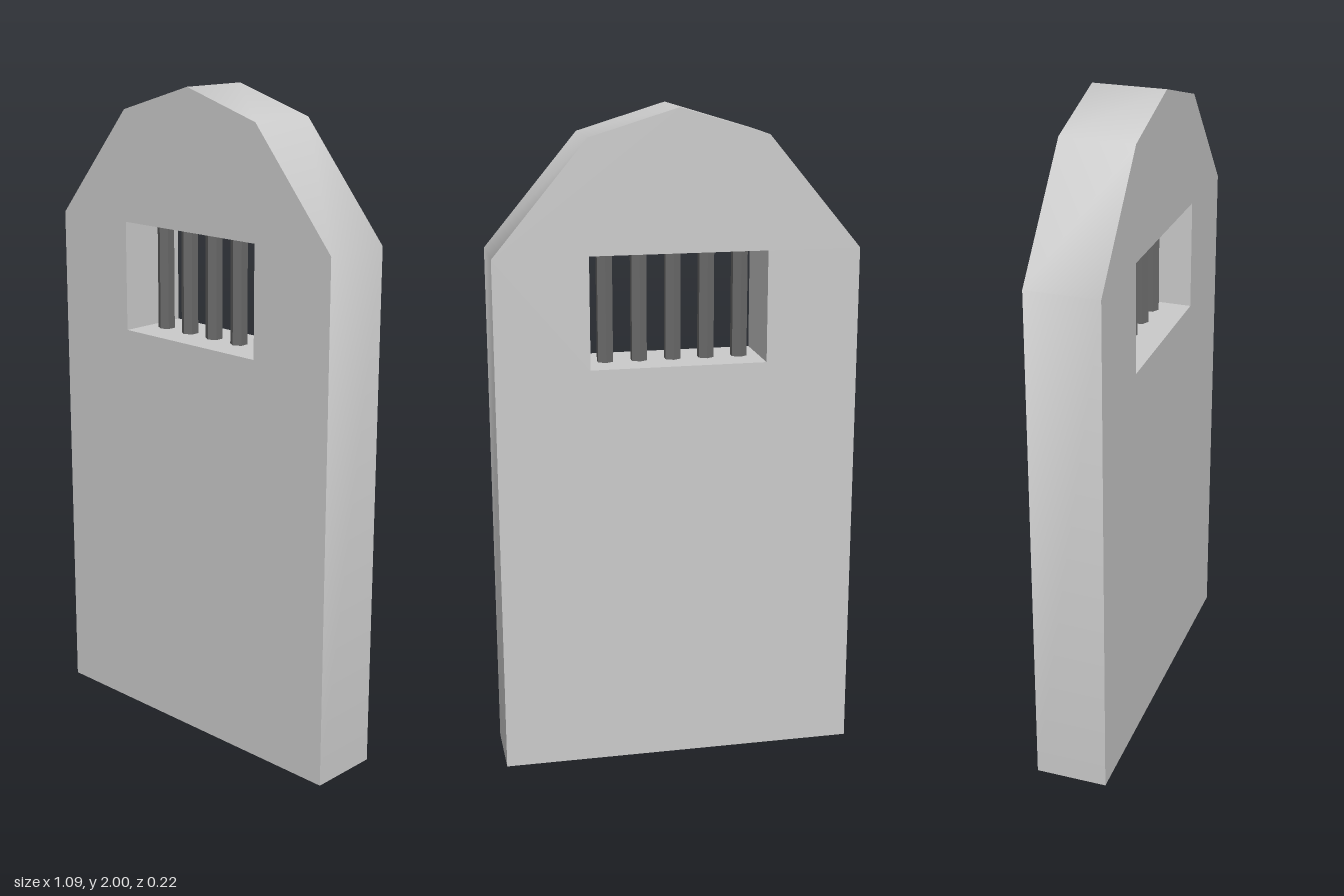
import * as THREE from 'three';
import { toCreasedNormals } from 'three/addons/utils/BufferGeometryUtils.js';

export function createModel() {
  const model = new THREE.Group();
  model.name = 'barredDoor';

  const depth = 0.22;
  const windowHalf = 0.265, sill = 1.25, lintel = 1.585;

  // Door slab: faceted arch outline with a rectangular window
  const outline = new THREE.Shape([
    [-0.545, 0], [0.545, 0], [0.545, 1.585], [0.265, 1.92],
    [0, 2], [-0.265, 1.92], [-0.545, 1.585],
  ].map(([x, y]) => new THREE.Vector2(x, y)));
  outline.holes.push(new THREE.Path([
    [-windowHalf, sill], [-windowHalf, lintel], [windowHalf, lintel], [windowHalf, sill],
  ].map(([x, y]) => new THREE.Vector2(x, y))));

  const slab = new THREE.ExtrudeGeometry(outline, { depth, bevelEnabled: false });
  slab.translate(0, 0, -depth / 2);
  // Smooth shading over the arch, sharp at the faces and window
  const door = new THREE.Mesh(
    toCreasedNormals(slab, 1),
    new THREE.MeshStandardMaterial({ color: 0xcccccc }),
  );
  door.name = 'doorSlab';
  model.add(door);

  // Window bars: five dark six-sided rods
  const bars = new THREE.Group();
  bars.name = 'windowBars';
  const barGeometry = new THREE.CylinderGeometry(0.026, 0.026, lintel - sill, 6);
  const barMaterial = new THREE.MeshStandardMaterial({ color: 0x6a6a6a, flatShading: true });
  for (let i = -2; i <= 2; i++) {
    const bar = new THREE.Mesh(barGeometry, barMaterial);
    bar.name = 'windowBar';
    bar.position.set(i * 0.1025, (sill + lintel) / 2, 0);
    bars.add(bar);
  }
  model.add(bars);

  return model;
}
